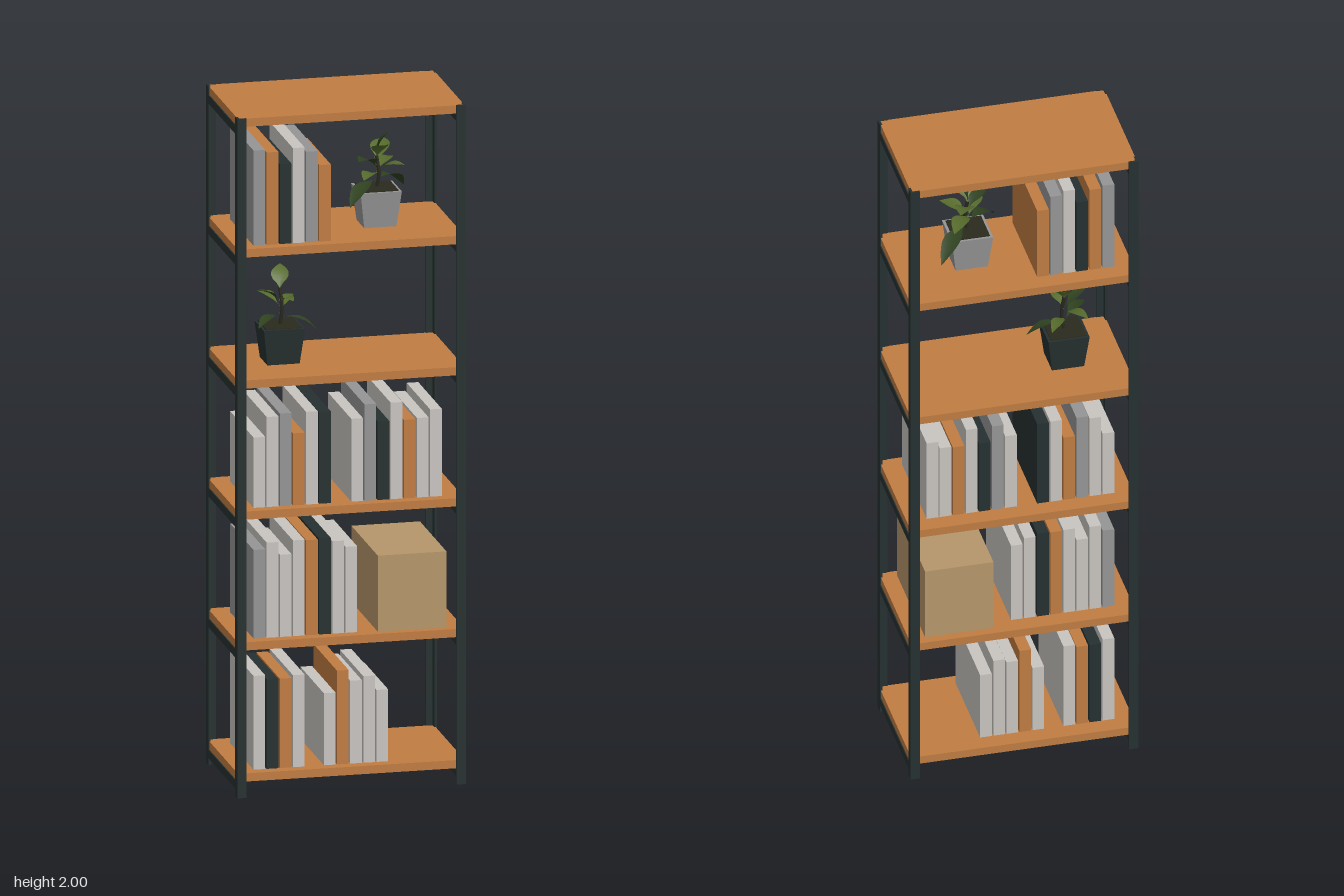
import * as THREE from 'three';

const mat = (name, color, side = THREE.FrontSide) => {
  const m = new THREE.MeshStandardMaterial({ color, side });
  m.name = name;
  return m;
};

export function createModel() {
  const wood = mat('wood', 0xc07c42);
  const iron = mat('dark iron', 0x263030);
  const pale = mat('pale grey', 0xc8c4c0);
  const grey = mat('mid grey', 0x969596);
  const card = mat('cardboard', 0xb5966a);
  const soil = mat('soil and stem', 0x2b2a1e);
  const darkLeaf = mat('dark leaf', 0x2f4220, THREE.DoubleSide);
  const lightLeaf = mat('light leaf', 0x566b2c, THREE.DoubleSide);

  const model = new THREE.Group();
  model.name = 'bookshelf';

  const add = (parent, name, geometry, material, x = 0, y = 0, z = 0) => {
    const mesh = new THREE.Mesh(geometry, material);
    mesh.name = name;
    mesh.position.set(x, y, z);
    parent.add(mesh);
    return mesh;
  };
  // box standing on y
  const block = (parent, name, w, h, d, material, x, y, z) =>
    add(parent, name, new THREE.BoxGeometry(w, h, d), material, x, y + h / 2, z);
  const group = (name) => {
    const g = new THREE.Group();
    g.name = name;
    model.add(g);
    return g;
  };

  // angle-iron corner posts
  const X = 0.333, Z = 0.193, A = 0.027, T = 0.007;
  for (const sx of [-1, 1]) for (const sz of [-1, 1]) {
    const pts = [[X, Z], [X - A, Z], [X - A, Z - T], [X - T, Z - T], [X - T, Z - A], [X, Z - A]];
    const shape = new THREE.Shape(pts.map(([x, z]) => new THREE.Vector2(x * sx, -z * sz)));
    const geo = new THREE.ExtrudeGeometry(shape, { depth: 2, bevelEnabled: false });
    geo.rotateX(-Math.PI / 2);
    add(model, 'cornerPost', geo, iron);
  }

  // shelves with a rail under each end
  const tops = [0.071, 0.457, 0.842, 1.228, 1.614, 1.999];
  for (const top of tops) {
    block(model, 'shelf', 0.66, 0.024, 0.376, wood, 0, top - 0.024, 0);
    for (const s of [-1, 1])
      block(model, 'sideRail', 0.025, 0.025, 0.37, iron, s * 0.3205, top - 0.049, 0);
  }

  // rows of books: shelf, left edge, colours, heights
  const cover = { p: pale, g: grey, w: wood, d: iron };
  const rows = [
    [0, -0.277, 'pdwp', [0.276, 0.263, 0.263, 0.271]],
    [0, -0.072, 'pwppp', [0.212, 0.276, 0.244, 0.255, 0.212]],
    [1, -0.277, 'gpppwdpp', [0.261, 0.28, 0.242, 0.282, 0.28, 0.282, 0.272, 0.253]],
    [2, -0.277, 'ppgwpd', [0.207, 0.265, 0.273, 0.212, 0.273, 0.27]],
    [2, 0.008, 'pgdpwpp', [0.244, 0.284, 0.231, 0.284, 0.231, 0.234, 0.257]],
    [4, -0.277, 'gwdpgw', [0.28, 0.272, 0.235, 0.28, 0.267, 0.225]],
  ];
  for (const [shelf, x0, colours, heights] of rows) {
    const row = group('bookRow');
    heights.forEach((h, i) =>
      block(row, 'book', 0.034, h, 0.29, cover[colours[i]], x0 + 0.017 + i * 0.0383, tops[shelf], 0.01));
  }

  // storage box
  block(model, 'storageBox', 0.2, 0.224, 0.327, card, 0.183, tops[1], 0.002);

  // folded, arched leaf blade running from base to tip
  const leafGeometry = (base, tip, width) => {
    const dir = tip.clone().sub(base);
    const len = dir.length();
    const side = new THREE.Vector3().crossVectors(dir, new THREE.Vector3(0, 1, 0)).normalize();
    const normal = new THREE.Vector3().crossVectors(side, dir).normalize();
    const pos = [], idx = [], N = 8;
    for (let i = 0; i <= N; i++) {
      const t = i / N;
      const w = t < 0.2 ? 0.03 : Math.sin(Math.PI * Math.pow((t - 0.2) / 0.8, 0.85)) + 0.03;
      for (const v of [-1, 0, 1]) {
        const p = base.clone().addScaledVector(dir, t)
          .addScaledVector(side, v * w * width / 2)
          .addScaledVector(normal, len * 0.12 * Math.sin(Math.PI * t) + Math.abs(v) * w * width * 0.12);
        pos.push(p.x, p.y, p.z);
      }
      if (i < N) for (const j of [0, 1]) {
        const a = i * 3 + j;
        idx.push(a, a + 1, a + 3, a + 1, a + 4, a + 3);
      }
    }
    const geo = new THREE.BufferGeometry();
    geo.setAttribute('position', new THREE.Float32BufferAttribute(pos, 3));
    geo.setIndex(idx);
    geo.computeVertexNormals();
    return geo;
  };

  // square tapered pot with stem; leaves: base height, tip x y z, width
  const plant = (x, y, potMaterial, stemTop, leaves) => {
    const g = group('pottedPlant');
    g.position.set(x, y, 0);
    const square = (rTop, rBottom, h) => {
      const geo = new THREE.CylinderGeometry(rTop * Math.SQRT2, rBottom * Math.SQRT2, h, 4).toNonIndexed();
      geo.rotateY(Math.PI / 4);
      geo.computeVertexNormals();
      return geo;
    };
    add(g, 'pot', square(0.06, 0.047, 0.105), potMaterial, 0, 0.0525, 0);
    add(g, 'soil', square(0.052, 0.052, 0.004), soil, 0, 0.106, 0);
    const stem = new THREE.CatmullRomCurve3([
      new THREE.Vector3(0, 0.1, 0),
      new THREE.Vector3(0.006, (0.1 + stemTop) / 2, 0.004),
      new THREE.Vector3(0, stemTop, 0),
    ]);
    add(g, 'stem', new THREE.TubeGeometry(stem, 10, 0.005, 6), soil);
    leaves.forEach(([by, tx, ty, tz, w], i) =>
      add(g, 'leaf', leafGeometry(new THREE.Vector3(0, by, 0), new THREE.Vector3(tx, ty, tz), w),
        i % 2 ? darkLeaf : lightLeaf));
  };

  plant(0.118, tops[4], grey, 0.2, [
    [0.14, -0.06, 0.155, 0.1, 0.045],
    [0.185, 0.035, 0.272, 0.012, 0.055],
    [0.17, 0.045, 0.222, -0.1, 0.055],
    [0.165, -0.07, 0.205, 0.08, 0.055],
    [0.15, 0.065, 0.165, -0.105, 0.05],
    [0.13, -0.1, 0.078, 0.1, 0.05],
    [0.19, 0.01, 0.245, 0.065, 0.05],
    [0.13, 0.107, 0.075, -0.12, 0.05],
    [0.15, 0.07, 0.18, 0.05, 0.045],
  ]);
  plant(-0.164, tops[3], iron, 0.215, [
    [0.2, 0.015, 0.268, -0.06, 0.05],
    [0.17, -0.075, 0.217, 0.03, 0.035],
    [0.14, 0.06, 0.165, -0.1, 0.035],
    [0.13, -0.085, 0.125, 0.1, 0.035],
    [0.17, 0.02, 0.195, 0.085, 0.035],
    [0.13, 0.105, 0.088, 0.02, 0.035],
    [0.16, -0.05, 0.185, -0.085, 0.035],
  ]);

  return model;
}
